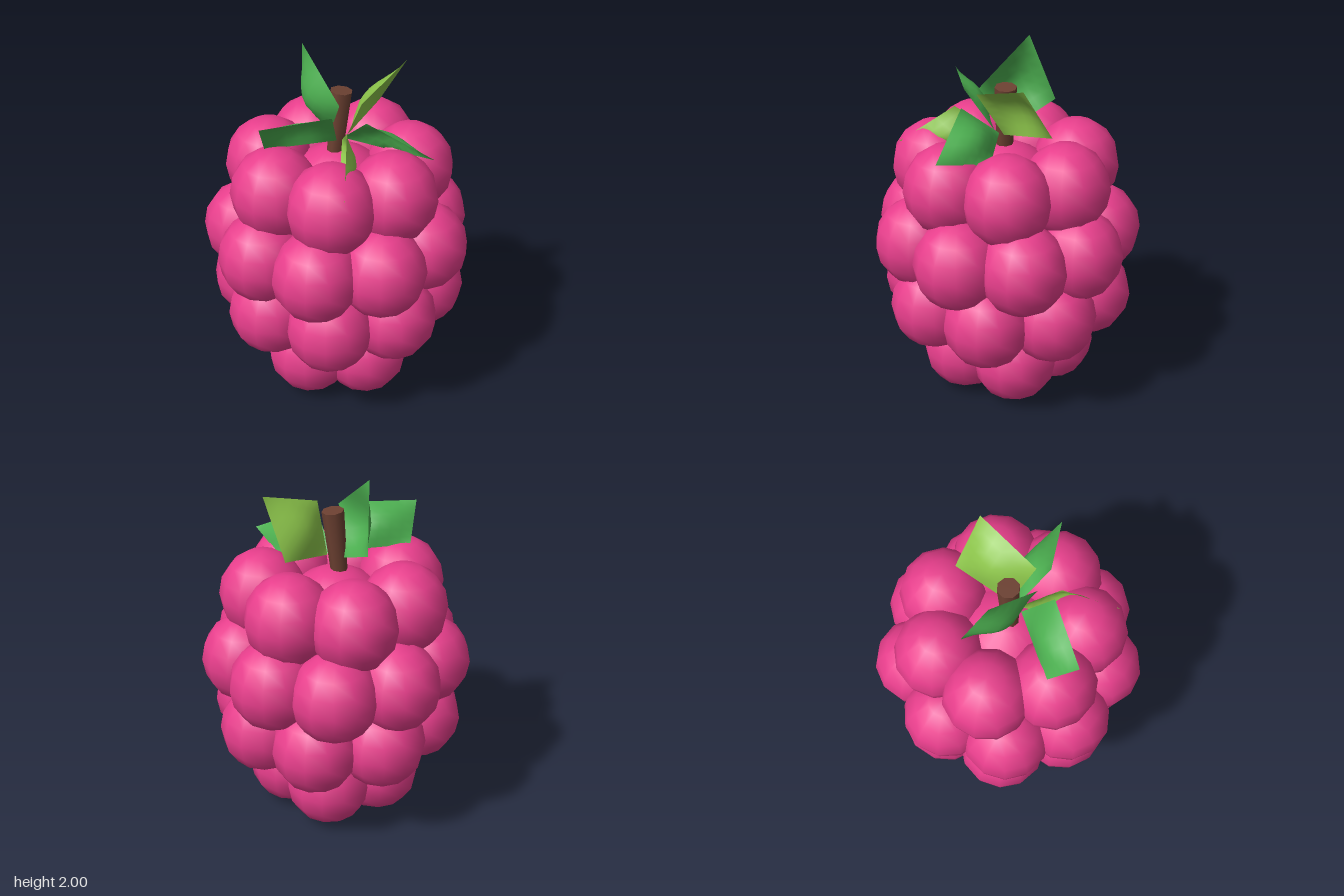
import * as THREE from 'three';
import { ParametricGeometry } from 'three/addons/geometries/ParametricGeometry.js';

const AXIS_X = -0.015;
const mat = (color, side = THREE.FrontSide) => new THREE.MeshStandardMaterial({ color, side });

// Curved four-cornered leaf: base, lower side, tip, upper side
function leafGeometry(corners, bulge) {
  const [base, low, tip, high] = corners.map((c) => new THREE.Vector3(...c));
  const normal = high.clone().sub(low).cross(tip.clone().sub(base)).normalize();
  const a = new THREE.Vector3();
  const b = new THREE.Vector3();
  return new ParametricGeometry((u, v, out) => {
    a.lerpVectors(base, low, u);
    b.lerpVectors(high, tip, u);
    out.lerpVectors(a, b, v);
    out.addScaledVector(normal, bulge * Math.sin(Math.PI * u) * Math.sin(Math.PI * v));
  }, 6, 6);
}

export function createModel() {
  const model = new THREE.Group();
  const pink = mat(0xe83e8c);

  // Inner body that closes the gaps between drupelets
  const core = new THREE.Mesh(new THREE.SphereGeometry(1, 20, 14), pink);
  core.name = 'core';
  core.scale.set(0.42, 0.66, 0.42);
  core.position.set(AXIS_X, 0.79, 0);
  model.add(core);

  // Four rings of drupelets, bottom to top
  const rings = [
    { count: 5, radius: 0.26, phase: 0 },
    { count: 8, radius: 0.465, phase: 22.5 },
    { count: 9, radius: 0.502, phase: 0 },
    { count: 7, radius: 0.393, phase: 9 },
  ];
  const drupelets = new THREE.Group();
  drupelets.name = 'drupelets';
  const ball = new THREE.SphereGeometry(0.24, 12, 8).scale(1, 1.04, 1);
  rings.forEach(({ count, radius, phase }, row) => {
    for (let i = 0; i < count; i++) {
      const angle = THREE.MathUtils.degToRad(phase) + (i / count) * Math.PI * 2;
      const drupelet = new THREE.Mesh(ball, pink);
      drupelet.name = 'drupelet';
      drupelet.position.set(AXIS_X + radius * Math.cos(angle), 0.25 + 0.35 * row, radius * Math.sin(angle));
      drupelet.rotation.y = -angle;
      drupelets.add(drupelet);
    }
  });
  model.add(drupelets);

  // Slightly tilted stem
  const stem = new THREE.Mesh(new THREE.CylinderGeometry(0.06, 0.045, 0.36, 8), mat(0x6d4132));
  stem.name = 'stem';
  stem.position.set(-0.015, 1.6, 0.005);
  stem.rotation.z = -0.1;
  model.add(stem);

  // Leaves around the stem
  const green = mat(0x4caf50, THREE.DoubleSide);
  const lime = mat(0x8bc34a, THREE.DoubleSide);
  const leaves = [
    ['rightLeaf', lime, 0.06, [[0.03, 1.52, 0.02], [0.28, 1.59, -0.19], [0.37, 1.89, -0.02], [0.06, 1.77, 0.17]]],
    ['backLeaf', green, 0.08, [[-0.05, 1.52, -0.03], [-0.13, 1.64, -0.29], [-0.16, 2.0, -0.15], [-0.05, 1.76, 0.14]]],
    ['sideLeaf', green, -0.05, [[-0.04, 1.52, 0.06], [-0.43, 1.53, 0.06], [-0.49, 1.725, 0.205], [-0.11, 1.735, 0.21]]],
    ['frontLeaf', lime, 0.07, [[-0.01, 1.52, 0.06], [-0.09, 1.39, 0.27], [-0.155, 1.445, 0.56], [-0.05, 1.67, 0.27]]],
    ['cornerLeaf', green, 0.06, [[0.0, 1.52, 0.04], [0.25, 1.45, 0.13], [0.37, 1.53, 0.425], [0.06, 1.7, 0.25]]],
  ];
  for (const [name, material, bulge, corners] of leaves) {
    const leaf = new THREE.Mesh(leafGeometry(corners, bulge), material);
    leaf.name = name;
    model.add(leaf);
  }
  return model;
}
